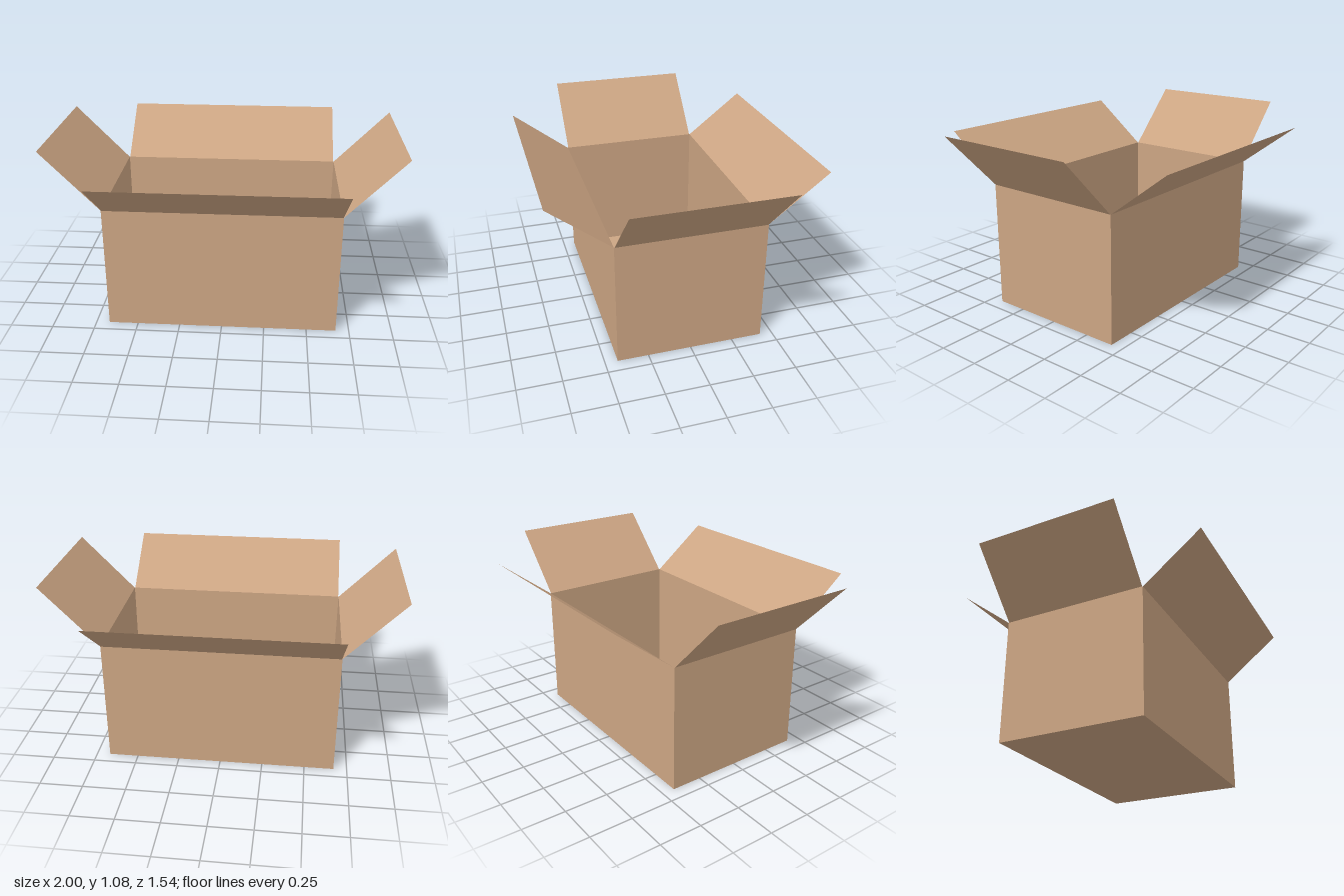
import * as THREE from 'three';

const HALF_X = 0.672, HALF_Z = 0.428, HEIGHT = 0.735;

export function createModel() {
  const box = new THREE.Group();
  box.name = 'openCardboardBox';
  const cardboard = new THREE.MeshStandardMaterial({ color: 0xcca583, side: THREE.DoubleSide });
  cardboard.name = 'cardboard';

  // Upright sheet whose bottom edge lies on its local x axis
  const sheet = (name, width, height) => {
    const mesh = new THREE.Mesh(new THREE.PlaneGeometry(width, height).translate(0, height / 2, 0), cardboard);
    mesh.name = name;
    return mesh;
  };

  // Floor
  const floor = new THREE.Mesh(new THREE.PlaneGeometry(2 * HALF_X, 2 * HALF_Z).rotateX(Math.PI / 2), cardboard);
  floor.name = 'floor';
  box.add(floor);

  // Four walls, each with a flap hinged on its top edge and folded outward
  ['front', 'left', 'back', 'right'].forEach((name, i) => {
    const isEnd = i % 2 === 1;
    const width = 2 * (isEnd ? HALF_Z : HALF_X);
    const distance = isEnd ? HALF_X : HALF_Z;
    const reach = isEnd ? 0.328 : 0.34;  // outward run of the flap
    const rise = isEnd ? 0.34 : 0.265;   // upward run of the flap

    const side = new THREE.Group();
    side.name = name + 'Side';
    side.rotation.y = i * Math.PI / 2;

    const wall = sheet(name + 'Wall', width, HEIGHT);
    wall.position.z = distance;

    const flap = sheet(name + 'Flap', width - 0.005, Math.hypot(reach, rise));
    flap.position.set(0, HEIGHT, distance);
    flap.rotation.x = Math.atan2(reach, rise);

    side.add(wall, flap);
    box.add(side);
  });

  return box;
}
